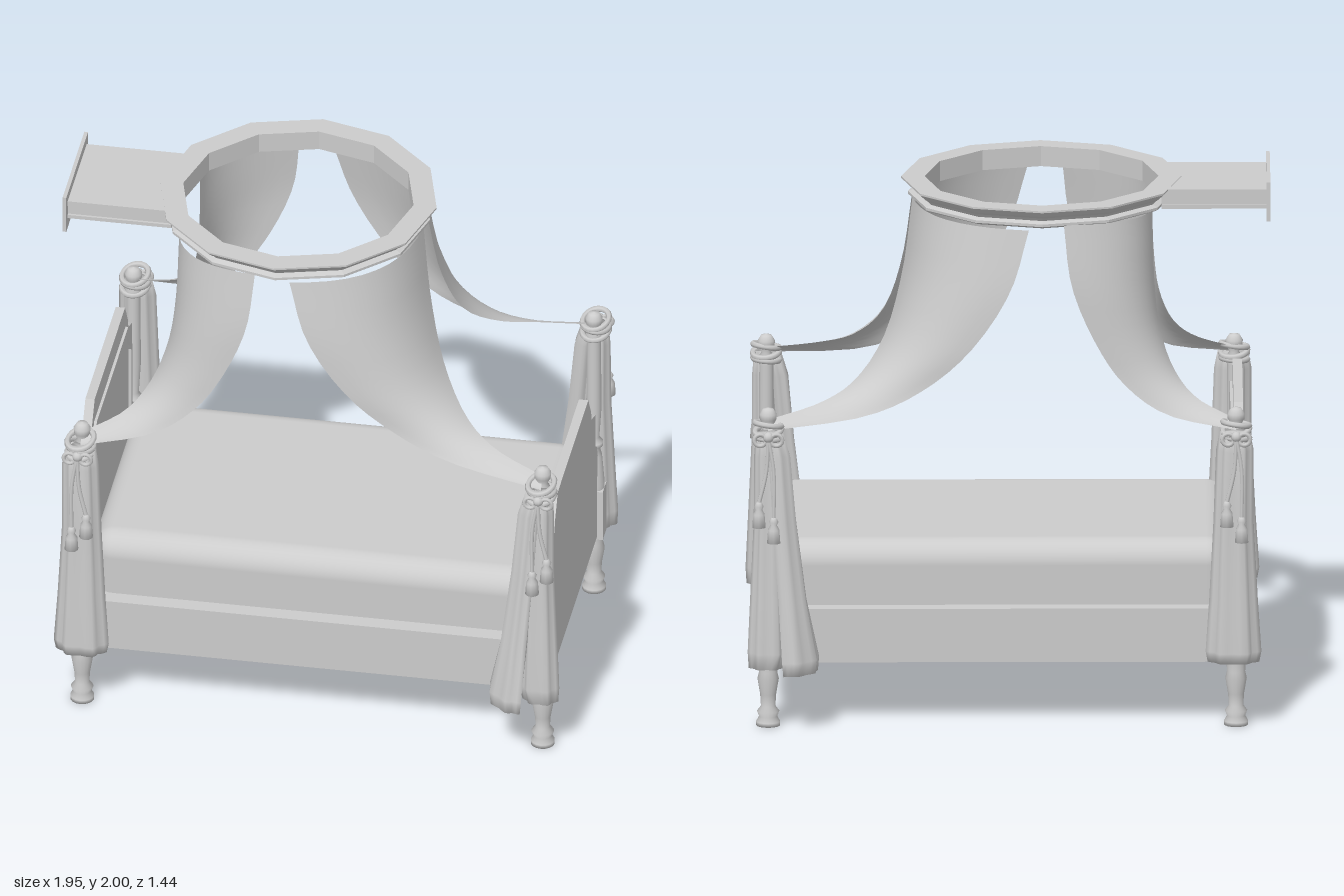
import * as THREE from 'three';
import { RoundedBoxGeometry } from 'three/addons/geometries/RoundedBoxGeometry.js';

const mat = new THREE.MeshStandardMaterial({ color: 0xcccccc });
const flat = new THREE.MeshStandardMaterial({ color: 0xcccccc, flatShading: true });
const cloth = new THREE.MeshStandardMaterial({ color: 0xcccccc, side: THREE.DoubleSide });
const V = (x, y, z) => new THREE.Vector3(x, y, z);

function add(parent, name, geo, material = mat, x = 0, y = 0, z = 0) {
  const m = new THREE.Mesh(geo, material);
  m.name = name;
  m.position.set(x, y, z);
  parent.add(m);
  return m;
}

function box(parent, name, x0, x1, y0, y1, z0, z1) {
  return add(parent, name, new THREE.BoxGeometry(x1 - x0, y1 - y0, z1 - z0), mat,
    (x0 + x1) / 2, (y0 + y1) / 2, (z0 + z1) / 2);
}

function lathe(profile, sides) {
  return new THREE.LatheGeometry(profile.map(p => new THREE.Vector2(p[0], p[1])), sides);
}

// Skin a list of equally long rows of points; closed rows wrap round
function loft(rows, closed) {
  const n = rows[0].length, pos = [], idx = [];
  rows.forEach(r => r.forEach(p => pos.push(p.x, p.y, p.z)));
  for (let i = 0; i < rows.length - 1; i++)
    for (let j = 0; j < (closed ? n : n - 1); j++) {
      const a = i * n + j, b = i * n + (j + 1) % n;
      idx.push(a, b, a + n, b, b + n, a + n);
    }
  const g = new THREE.BufferGeometry();
  g.setAttribute('position', new THREE.Float32BufferAttribute(pos, 3));
  g.setIndex(idx);
  g.computeVertexNormals();
  return g;
}

// Draped curtain between two edge curves, bulging towards their outer corner
function drapeGeo(edgeA, edgeB, sz) {
  const a = new THREE.CatmullRomCurve3(edgeA.map(p => V(...p)));
  const b = new THREE.CatmullRomCurve3(edgeB.map(p => V(...p)));
  const rows = [];
  for (let i = 0; i <= 18; i++) {
    const A = a.getPoint(i / 18), B = b.getPoint(i / 18);
    const mid = A.clone().add(B).multiplyScalar(0.5);
    const C = mid.clone().lerp(V(A.x, mid.y, B.z), 0.85);
    rows.push(new THREE.QuadraticBezierCurve3(A, C, B).getPoints(10).map(p => V(p.x, p.y, p.z * sz)));
  }
  return loft(rows, false);
}

// Hanging pleated tail: stations are [x, y, z, half width, half depth]
function tailGeo(stations, sz, turn) {
  const c = Math.cos(turn), s = Math.sin(turn);
  const ring = ([x, y, z, w, d], k) => Array.from({ length: 24 }, (_, j) => {
    const t = j / 24 * Math.PI * 2, f = k * (1 + 0.13 * Math.cos(t * 6));
    const u = w * f * Math.cos(t), v = d * f * Math.sin(t);
    return V(x + u * c - v * s, y, (z + u * s + v * c) * sz);
  });
  const end = stations[stations.length - 1];
  return loft([ring(stations[0], 0.02), ...stations.map(p => ring(p, 1)), ring(end, 0.02)], true);
}

// Stepped outline of a head or foot board, in (z, y)
function boardOutline(half) {
  const pts = [...half, ...half.slice().reverse().map(([z, y]) => [-z, y])];
  return pts.map(([z, y]) => new THREE.Vector2(z, y));
}
function boardGeo(outer, hole, depth) {
  const s = new THREE.Shape(boardOutline(outer));
  if (hole) s.holes.push(new THREE.Path(boardOutline(hole)));
  const g = new THREE.ExtrudeGeometry(s, { depth, bevelEnabled: false });
  g.rotateY(-Math.PI / 2); // depth now runs towards -x, shape x towards z
  return g.translate(depth / 2, 0, 0);
}

const postProfile = [[0, 0], [0.045, 0], [0.045, 0.015], [0.034, 0.035], [0.042, 0.055], [0.027, 0.075],
  [0.03, 0.12], [0.04, 0.18], [0.034, 0.205], [0.036, 0.25]];
const spindleProfile = [[0.04, 0.44], [0.04, 0.47], [0.03, 0.59], [0.022, 0.62], [0.034, 0.635], [0.034, 0.65],
  [0.02, 0.67], [0.028, 0.8], [0.026, 1.1], [0.032, 1.13], [0.018, 1.15], [0.031, 1.175], [0.032, 1.195],
  [0.02, 1.215], [0, 1.22]];
const tasselProfile = [[0, 0], [0.026, 0], [0.022, 0.05], [0.012, 0.068], [0.018, 0.08], [0.01, 0.095], [0, 0.1]];

const ends = {
  head: {
    x: -0.84,
    a: [[-0.53, 1.9, 0.22], [-0.54, 1.6, 0.25], [-0.56, 1.45, 0.29], [-0.61, 1.32, 0.36], [-0.69, 1.235, 0.45], [-0.84, 1.17, 0.53]],
    b: [[-0.2, 1.9, 0.47], [-0.23, 1.67, 0.5], [-0.32, 1.45, 0.5], [-0.42, 1.3, 0.5], [-0.57, 1.19, 0.52], [-0.84, 1.14, 0.58]],
    tails: [{ turn: 0, p: [[-0.835, 1.14, 0.59, 0.05, 0.035], [-0.835, 1.07, 0.6, 0.062, 0.045], [-0.83, 0.8, 0.605, 0.066, 0.045],
      [-0.83, 0.5, 0.61, 0.08, 0.045], [-0.83, 0.3, 0.615, 0.092, 0.05], [-0.83, 0.26, 0.615, 0.085, 0.045]] }],
  },
  foot: {
    x: 0.9,
    a: [[0.36, 1.9, 0.04], [0.4, 1.62, 0.1], [0.47, 1.4, 0.2], [0.58, 1.27, 0.34], [0.7, 1.215, 0.44], [0.9, 1.17, 0.53]],
    b: [[-0.07, 1.88, 0.47], [0, 1.65, 0.5], [0.15, 1.42, 0.495], [0.32, 1.27, 0.48], [0.52, 1.18, 0.5], [0.9, 1.14, 0.58]],
    tails: [
      { turn: 0.7, p: [[0.88, 1.14, 0.59, 0.035, 0.03], [0.86, 1.05, 0.6, 0.045, 0.035], [0.84, 0.8, 0.615, 0.05, 0.035],
        [0.81, 0.5, 0.64, 0.06, 0.038], [0.78, 0.28, 0.66, 0.08, 0.04], [0.78, 0.23, 0.665, 0.075, 0.035]] },
      { turn: 0, p: [[0.9, 1.14, 0.59, 0.04, 0.03], [0.905, 1.05, 0.595, 0.042, 0.04], [0.9, 0.8, 0.6, 0.048, 0.042],
        [0.9, 0.5, 0.61, 0.06, 0.042], [0.9, 0.3, 0.62, 0.068, 0.042], [0.905, 0.24, 0.62, 0.06, 0.038]] },
    ],
  },
};

function corner(end, sz) {
  const g = new THREE.Group(), { x } = end, z = 0.54 * sz;
  g.name = 'cornerPost';
  // Turned foot, square joint and turned spindle with ball top
  add(g, 'foot', lathe(postProfile, 16), mat, x, 0, z);
  box(g, 'postBlock', x - 0.04, x + 0.04, 0.24, 0.45, z - 0.04, z + 0.04);
  add(g, 'spindle', lathe(spindleProfile, 16), mat, x, 0, z);
  // Draped curtain and gathered tails
  add(g, 'drape', drapeGeo(end.a, end.b, sz), cloth);
  end.tails.forEach(t => add(g, 'curtainTail', tailGeo(t.p, sz, t.turn), cloth));
  // Rope tie with knot and bow loops
  [[1.165, 0.15], [1.14, -0.12], [1.115, 0.08]].forEach(([y, tilt]) => {
    const r = add(g, 'ropeTie', new THREE.TorusGeometry(0.05, 0.011, 6, 20), mat, x, y, 0.575 * sz);
    r.rotation.set(Math.PI / 2 + tilt, tilt, 0);
    r.scale.y = 1.2;
  });
  add(g, 'knot', new THREE.SphereGeometry(0.02, 10, 8), mat, x, 1.13, 0.64 * sz);
  [-1, 1].forEach(s => {
    const loop = add(g, 'bowLoop', new THREE.TorusGeometry(0.022, 0.008, 6, 14), mat, x + s * 0.03, 1.12, 0.642 * sz);
    loop.rotation.z = s * 0.5;
  });
  // Cords and tassels
  [[x - 0.02, 0.73], [x + 0.035, 0.79]].forEach(([tx, ty]) => {
    const curve = new THREE.CatmullRomCurve3([V(x, 1.13, 0.645 * sz), V((x + tx) / 2 - 0.01, 1, 0.65 * sz), V(tx, ty + 0.09, 0.655 * sz)]);
    add(g, 'cord', new THREE.TubeGeometry(curve, 10, 0.008, 6));
    add(g, 'tassel', lathe(tasselProfile, 10), mat, tx, ty, 0.655 * sz);
  });
  return g;
}

function board(name, x, drop, inward) {
  const g = new THREE.Group();
  g.name = name;
  const outer = [[0.54, 0.25], [0.54, 0.55], [0.5, 0.65], [0.47, 0.67], [0.47, 1.02 - drop],
    [0.39, 1.05 - drop], [0.38, 1.09 - drop], [0.32, 1.18 - drop]];
  const rim = [[0.415, 0.47], [0.415, 0.96 - drop], [0.39, 1.0 - drop], [0.33, 1.09 - drop]];
  const inner = [[0.395, 0.49], [0.395, 0.95 - drop], [0.375, 0.98 - drop], [0.32, 1.06 - drop]];
  add(g, 'panel', boardGeo(outer, null, 0.035), mat, x);
  add(g, 'panelMoulding', boardGeo(rim, inner, 0.012), mat, x + inward * 0.022);
  return g;
}

export function createModel() {
  const model = new THREE.Group();
  model.name = 'canopyBed';

  // Bed body
  box(model, 'bedBase', -0.86, 0.915, 0.245, 0.45, -0.56, 0.56);
  add(model, 'mattress', new RoundedBoxGeometry(1.7, 0.4, 1.0, 5, 0.09), mat, 0.03, 0.49, 0);
  model.add(board('headboard', -0.85, 0, 1), board('footboard', 0.9, 0.21, -1));

  // Posts, curtains and ties
  for (const end of Object.values(ends)) for (const sz of [1, -1]) model.add(corner(end, sz));

  // Twelve-sided moulded canopy ring
  const ring = [[0.435, 1.89], [0.475, 1.89], [0.497, 1.9], [0.497, 1.91], [0.475, 1.918], [0.485, 1.93],
    [0.5, 1.94], [0.522, 1.96], [0.522, 1.967], [0.435, 1.967], [0.435, 1.89]];
  add(model, 'canopyRing', lathe(ring, 12), flat, -0.12, 0, 0);

  // Wall bracket: hollow arm and back plate
  const arm = new THREE.Group();
  arm.name = 'wallBracket';
  box(arm, 'armTop', -0.96, -0.565, 1.945, 1.966, -0.2, 0.2);
  box(arm, 'armBottom', -0.96, -0.565, 1.892, 1.906, -0.2, 0.2);
  for (const s of [-1, 1]) box(arm, 'armSide', -0.96, -0.565, 1.9, 1.95, s * 0.18 - 0.01, s * 0.18 + 0.01);
  const plate = new THREE.Shape([[-0.23, 1.85], [0.23, 1.85], [0.23, 2], [-0.23, 2]].map(p => new THREE.Vector2(...p)));
  plate.holes.push(new THREE.Path([[-0.17, 1.906], [-0.17, 1.945], [0.17, 1.945], [0.17, 1.906]].map(p => new THREE.Vector2(...p))));
  const plateGeo = new THREE.ExtrudeGeometry(plate, { depth: 0.014, bevelEnabled: false }).rotateY(-Math.PI / 2);
  add(arm, 'wallPlate', plateGeo, mat, -0.956, 0, 0);
  model.add(arm);
  return model;
}
